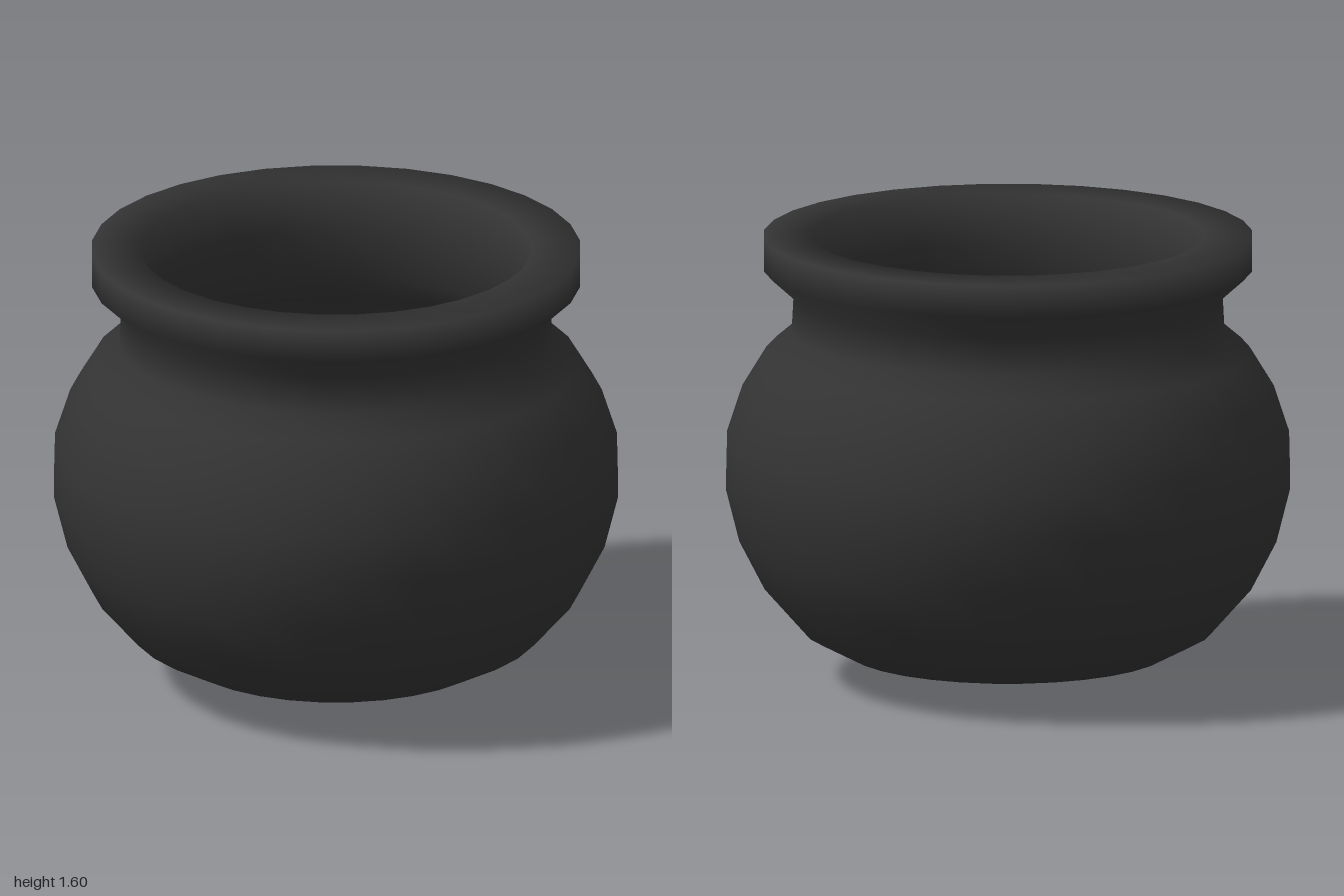
import * as THREE from 'three';

// Outer wall from the base centre up to the rim: [radius, height]
const OUTER = [
  [0, 0], [0.2, 0.025], [0.385, 0.065], [0.57, 0.105], [0.725, 0.187],
  [0.86, 0.34], [0.95, 0.515], [0.998, 0.705], [0.994, 0.875], [0.94, 1.04],
  [0.855, 1.18], [0.765, 1.257], [0.758, 1.39], [0.863, 1.485], [0.863, 1.6],
];

// Inner wall from the mouth down to the floor centre
const INNER = [
  [0.69, 1.6], [0.685, 1.42], [0.69, 1.24], [0.79, 1.13], [0.87, 1.01],
  [0.92, 0.86], [0.925, 0.71], [0.88, 0.54], [0.8, 0.39], [0.68, 0.25],
  [0.55, 0.175], [0.2, 0.095], [0, 0.075],
];

export function createModel() {
  const group = new THREE.Group();
  group.name = 'cauldron';

  // Hollow round pot with a pinched neck and a heavy rim, softly shaded
  const profile = [...OUTER, ...INNER].map(([r, y]) => new THREE.Vector2(r, y));
  const pot = new THREE.Mesh(
    new THREE.LatheGeometry(profile, 32),
    new THREE.MeshStandardMaterial({ color: 0x333333 })
  );
  pot.name = 'pot';
  group.add(pot);

  return group;
}
